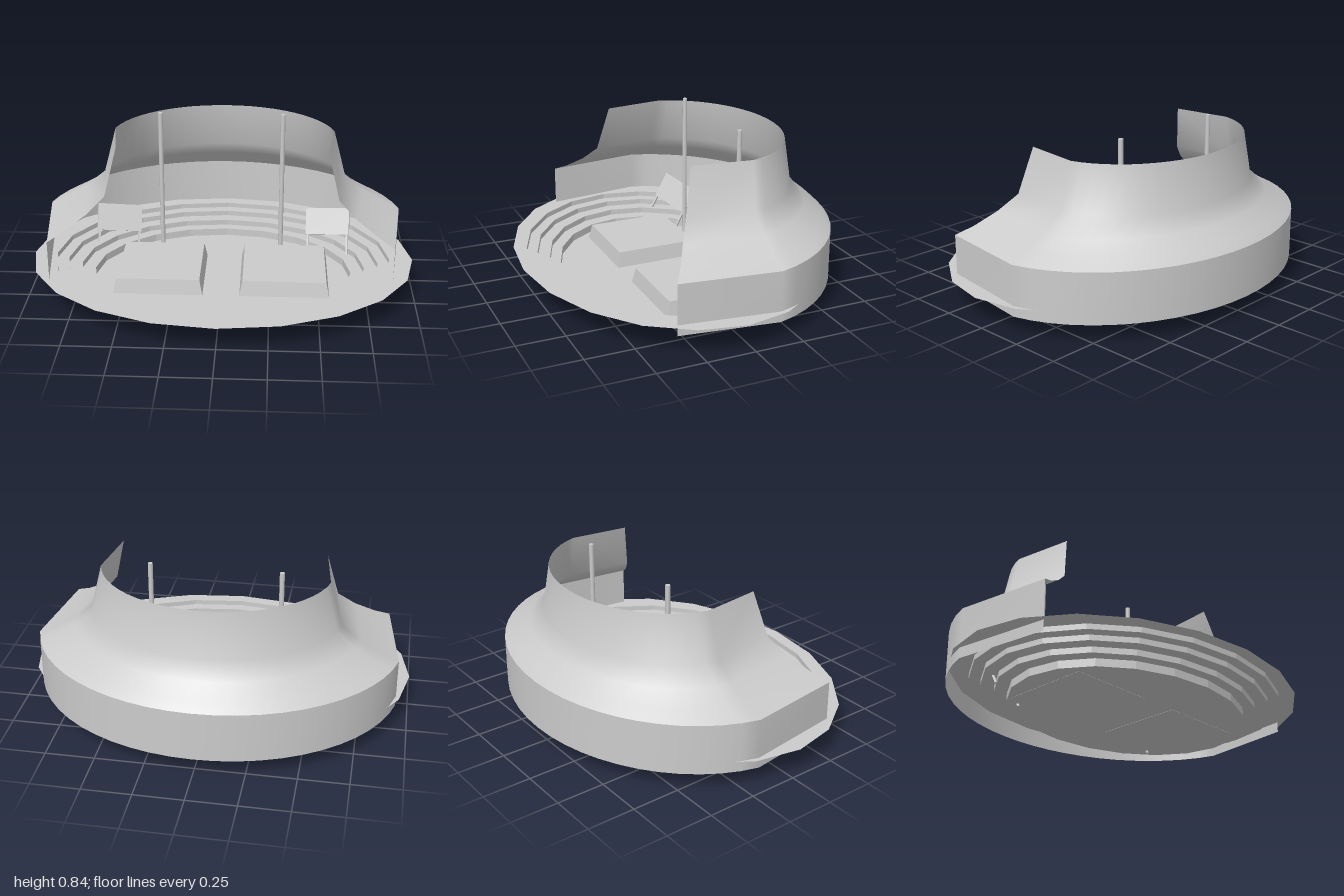
import * as THREE from 'three';

const smooth = new THREE.MeshStandardMaterial({ color: 0xcccccc, side: THREE.DoubleSide });
const faceted = new THREE.MeshStandardMaterial({ color: 0xcccccc, side: THREE.DoubleSide, flatShading: true });

// Surface through elliptical rings [y, x radius, z radius, z centre]; angle 0 is the back
function ringSurface(rings, angles) {
  const positions = [], index = [], n = angles.length;
  for (const [y, a, b, c] of rings)
    for (const t of angles) positions.push(a * Math.sin(t), y, c - b * Math.cos(t));
  for (let r = 0; r < rings.length - 1; r++)
    for (let i = 0; i < n - 1; i++) {
      const p = r * n + i, q = p + n;
      index.push(p, p + 1, q, p + 1, q + 1, q);
    }
  const geometry = new THREE.BufferGeometry();
  geometry.setAttribute('position', new THREE.Float32BufferAttribute(positions, 3));
  geometry.setIndex(index);
  geometry.computeVertexNormals();
  return geometry;
}

function add(parent, name, geometry, material, x = 0, y = 0, z = 0) {
  const mesh = new THREE.Mesh(geometry, material);
  mesh.name = name;
  mesh.position.set(x, y, z);
  parent.add(mesh);
  return mesh;
}

// Platform: block with slightly sloping sides
function platformGeometry(w, h, d, inset) {
  const geometry = new THREE.BoxGeometry(w, h, d);
  const p = geometry.attributes.position;
  for (let i = 0; i < p.count; i++)
    if (p.getY(i) > 0) {
      p.setX(i, p.getX(i) - Math.sign(p.getX(i)) * inset);
      p.setZ(i, p.getZ(i) - Math.sign(p.getZ(i)) * inset);
    }
  geometry.computeVertexNormals();
  return geometry;
}

// Tilted sign panel on two legs, leaning back and turned towards the middle
function signStand(side) {
  const stand = new THREE.Group();
  stand.name = side > 0 ? 'leftSignStand' : 'rightSignStand';
  const u = new THREE.Vector3(side * 0.235, 0.045, 0.08).normalize();
  const v = new THREE.Vector3(0, 0.24, -0.13).normalize();
  const n = new THREE.Vector3().crossVectors(u, v).normalize();
  // Keep the basis right-handed on both sides
  const basis = new THREE.Matrix4().makeBasis(u, v, n);
  stand.quaternion.setFromRotationMatrix(basis);
  stand.position.set(-0.0125 + side * 0.4625, 0.002, -0.25);
  add(stand, 'signPanel', new THREE.BoxGeometry(0.25, 0.148, 0.01), faceted, 0.125, 0.199, 0);
  for (const x of [0.012, 0.238])
    add(stand, 'signLeg', new THREE.BoxGeometry(0.01, 0.13, 0.01), faceted, x, 0.065, 0);
  return stand;
}

export function createModel() {
  const model = new THREE.Group();

  // Stepped bowl, 20 sides
  const circle = Array.from({ length: 21 }, (_, i) => (i / 20) * Math.PI * 2);
  const steps = [[0.68, 0.52], [0.75, 0.575], [0.82, 0.64], [0.88, 0.695], [1, 0.76]];
  const levels = [0.02, 0.06, 0.09, 0.118, 0.145];
  const bowl = [[levels[0], 0, 0, 0.04]];
  steps.forEach(([a, b], i) => {
    bowl.push([levels[i], a, b, 0.04]);
    if (i < 4) bowl.push([levels[i + 1], a, b, 0.04]);
  });
  add(model, 'steppedBowl', ringSurface(bowl, circle), faceted);

  // Wall around the back, with one long straight panel at each end
  const arc = [-114.6];
  for (let i = -12; i <= 12; i++) arc.push(i * 6.5);
  arc.push(114.6);
  const sweep = arc.map(THREE.MathUtils.degToRad);
  add(model, 'backWall', ringSurface([
    [0.09, 0.957, 0.805, 0.005],
    [0.35, 0.957, 0.805, 0.005],
  ], sweep), smooth);

  // Shell roof rising inwards from the wall
  add(model, 'shellRoof', ringSurface([
    [0.35, 0.957, 0.805, 0.005],
    [0.39, 0.87, 0.741, -0.019],
    [0.455, 0.755, 0.643, -0.037],
    [0.535, 0.655, 0.556, -0.056],
    [0.775, 0.59, 0.496, -0.084],
  ], sweep), smooth);

  // Platforms on the floor
  const platform = platformGeometry(0.465, 0.081, 0.465, 0.016);
  add(model, 'rightPlatform', platform, faceted, -0.328, 0.0595, 0.018);
  add(model, 'leftPlatform', platform, faceted, 0.328, 0.0595, 0.018);

  // Tall poles
  for (const x of [-0.345, 0.307])
    add(model, 'pole', new THREE.CylinderGeometry(0.0125, 0.0125, 0.82, 8), smooth, x, 0.43, -0.25);

  for (const side of [-1, 1]) model.add(signStand(side));
  return model;
}
